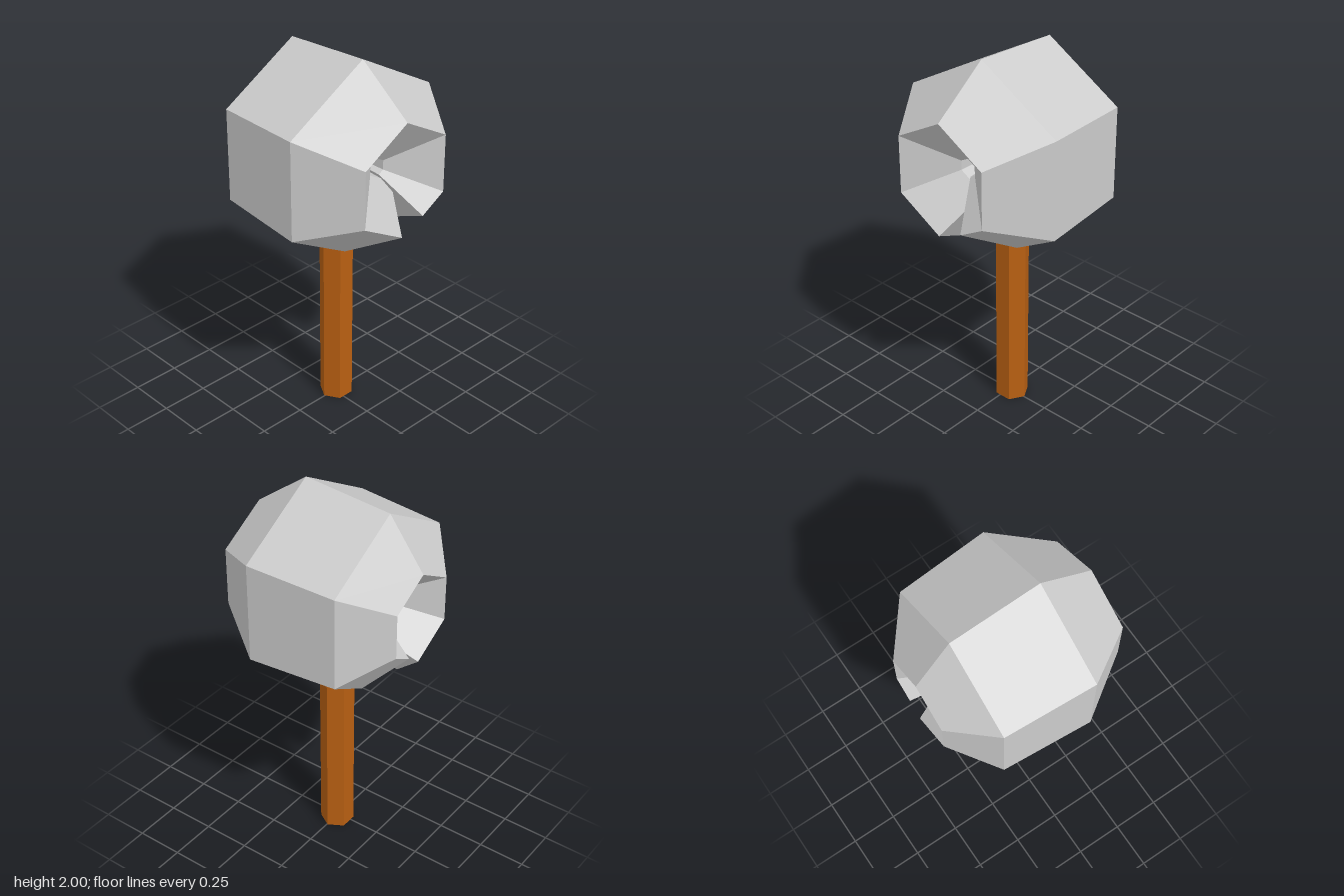
import * as THREE from 'three';

const CENTER_Y = 1.475;

// Tube profile of the head as [distance from the axis, z]
const PROFILE = [
  [0.305, 0.48], [0.525, 0.19], [0.49, -0.29],
  [0.235, -0.48], [0.015, -0.19], [0.05, 0.29],
];

const deg = THREE.MathUtils.degToRad;

// Profile placed on a corner of the hexagonal ring
function corner(angle) {
  const a = deg(angle);
  return PROFILE.map(([r, z]) => [r * Math.cos(a), CENTER_Y + r * Math.sin(a), z]);
}

// Profile cut square across a straight side, shifted along that side
function squareEnd(angle, shift) {
  const a = deg(angle), c = Math.cos(a), s = Math.sin(a), k = Math.cos(Math.PI / 6);
  return PROFILE.map(([r, z]) => [r * k * c - shift * s, CENTER_Y + r * k * s + shift * c, z]);
}

function headGeometry() {
  const sections = [
    squareEnd(-60, -0.008),
    ...[-30, 30, 90, 150, 210].map(corner),
    squareEnd(240, 0.135),
  ];
  const n = PROFILE.length, last = sections.length - 1;
  const pos = [];
  const tri = (a, b, c) => pos.push(...a, ...b, ...c);
  // Sides
  for (let j = 0; j < last; j++) {
    for (let i = 0; i < n; i++) {
      const k = (i + 1) % n;
      const a = sections[j][i], b = sections[j][k], c = sections[j + 1][k], d = sections[j + 1][i];
      tri(a, b, c);
      tri(a, c, d);
    }
  }
  // Flat caps on the two ends of the open ring
  for (let i = 1; i < n - 1; i++) {
    const s = sections[0], e = sections[last];
    tri(s[0], s[i + 1], s[i]);
    tri(e[0], e[i], e[i + 1]);
  }
  const geo = new THREE.BufferGeometry();
  geo.setAttribute('position', new THREE.Float32BufferAttribute(pos, 3));
  geo.computeVertexNormals();
  return geo;
}

export function createModel() {
  const model = new THREE.Group();
  model.name = 'mallet';

  // Open hexagonal ring forming the head
  const head = new THREE.Mesh(
    headGeometry(),
    new THREE.MeshStandardMaterial({ color: 0xcccccc, flatShading: true }),
  );
  head.name = 'head';
  model.add(head);

  // Six-sided wooden handle with corners on the left and right
  const handle = new THREE.Mesh(
    new THREE.CylinderGeometry(0.0875, 0.0875, 1.29, 6, 1, false, Math.PI / 6),
    new THREE.MeshStandardMaterial({ color: 0xb85f12, flatShading: true }),
  );
  handle.name = 'handle';
  handle.position.set(0.018, 0.645, -0.004);
  model.add(handle);

  return model;
}
